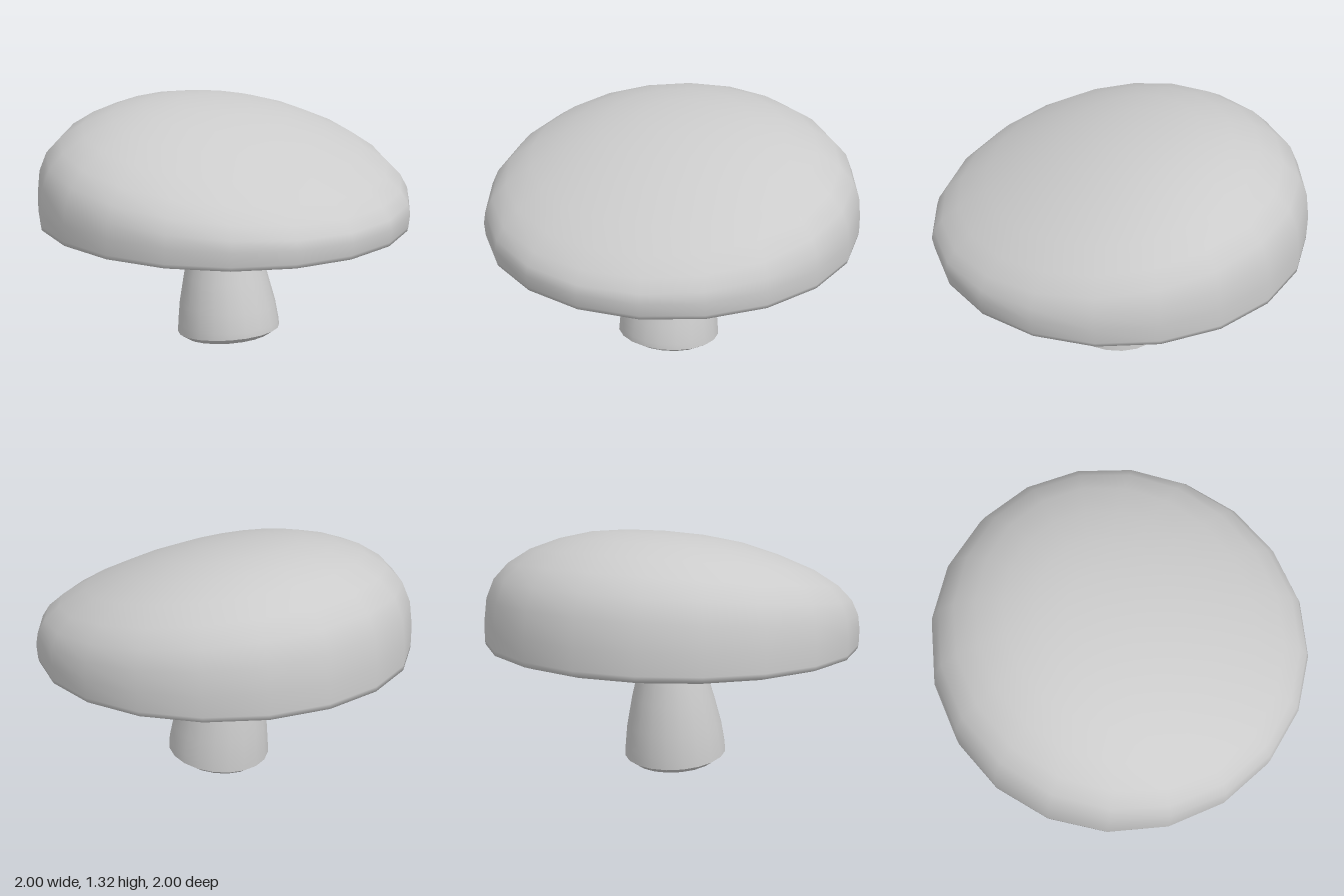
import * as THREE from 'three';

const SIDES = 20;

// Lofts tilted elliptical rings, listed bottom to top.
// Ring: [left x, left y, right x, right y, z radius]; a zero z radius is a pole.
function loft(name, rings) {
  const positions = [], index = [];
  for (const [x0, y0, x1, y1, rz] of rings) {
    for (let j = 0; j < SIDES; j++) {
      const a = (j / SIDES) * Math.PI * 2;
      const t = (1 + Math.cos(a)) / 2;
      positions.push(x0 + (x1 - x0) * t, y0 + (y1 - y0) * t, rz * Math.sin(a));
    }
  }
  const at = (i, j) => i * SIDES + (rings[i][4] === 0 ? 0 : j % SIDES);
  for (let i = 0; i < rings.length - 1; i++) {
    for (let j = 0; j < SIDES; j++) {
      const a = at(i, j), b = at(i + 1, j), c = at(i + 1, j + 1), d = at(i, j + 1);
      if (b !== c) index.push(a, b, c);
      if (a !== d) index.push(a, c, d);
    }
  }
  const geometry = new THREE.BufferGeometry();
  geometry.setAttribute('position', new THREE.Float32BufferAttribute(positions, 3));
  geometry.setIndex(index);
  geometry.computeVertexNormals();
  const mesh = new THREE.Mesh(geometry, new THREE.MeshStandardMaterial({ color: 0xcccccc }));
  mesh.name = name;
  return mesh;
}

export function createModel() {
  const group = new THREE.Group();
  group.name = 'mushroom';

  // Lopsided cap: shallow underside, tight rim, then a dome leaning to -x
  group.add(loft('cap', [
    [0, 0.598, 0, 0.598, 0],
    [-0.35, 0.604, 0.35, 0.604, 0.35],
    [-0.65, 0.633, 0.65, 0.625, 0.65],
    [-0.85, 0.672, 0.85, 0.648, 0.85],
    [-0.95, 0.697, 0.94, 0.665, 0.95],
    [-1, 0.715, 0.985, 0.675, 0.995],
    [-1, 0.74, 0.99, 0.695, 1],
    [-1, 0.85, 1, 0.76, 1],
    [-0.98, 0.99, 0.985, 0.805, 0.99],
    [-0.93, 1.1, 0.94, 0.865, 0.955],
    [-0.84, 1.185, 0.85, 0.935, 0.885],
    [-0.72, 1.253, 0.7, 1.025, 0.765],
    [-0.58, 1.3, 0.5, 1.122, 0.59],
    [-0.42, 1.322, 0.3, 1.204, 0.41],
    [-0.27, 1.32, 0.1, 1.264, 0.21],
    [-0.09, 1.3, -0.09, 1.3, 0],
  ]));

  // Flared stem, its top hidden inside the cap
  group.add(loft('stem', [
    [-0.24, 0.035, 0.315, 0.095, 0.28],
    [-0.24, 0.1, 0.312, 0.125, 0.276],
    [-0.235, 0.22, 0.29, 0.22, 0.262],
    [-0.215, 0.38, 0.24, 0.37, 0.228],
    [-0.195, 0.49, 0.2, 0.48, 0.198],
    [-0.175, 0.6, 0.163, 0.6, 0.168],
    [-0.165, 0.7, 0.15, 0.7, 0.155],
  ]));

  // Tilted, slightly bulging foot
  group.add(loft('stemBase', [
    [0.03, 0.018, 0.03, 0.018, 0],
    [-0.1, 0.002, 0.16, 0.032, 0.13],
    [-0.2, 0.008, 0.265, 0.058, 0.235],
    [-0.24, 0.035, 0.315, 0.095, 0.28],
  ]));

  return group;
}
